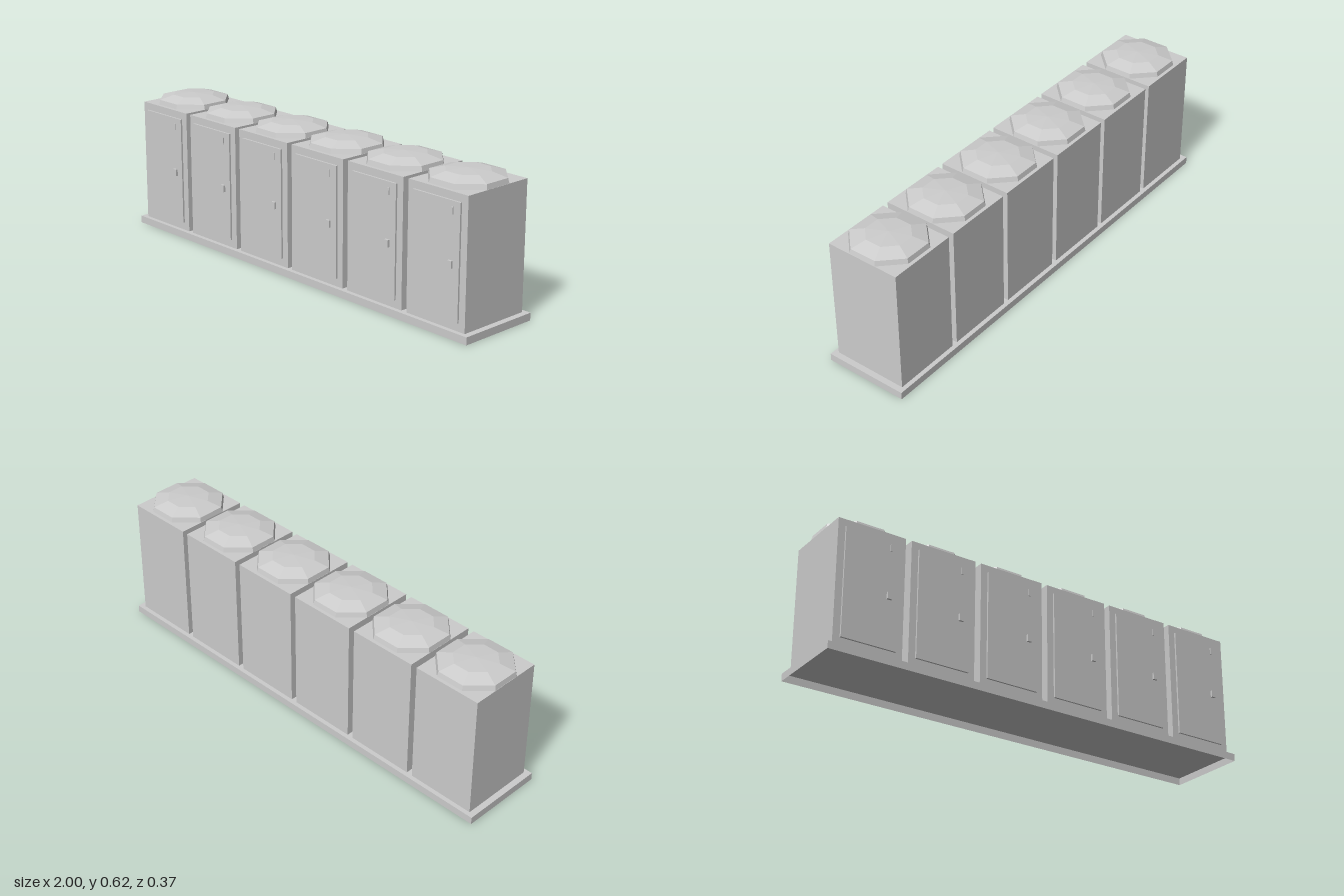
import * as THREE from 'three';

const grey = new THREE.MeshStandardMaterial({ color: 0xcccccc, flatShading: true, side: THREE.DoubleSide });
grey.name = 'light grey';

function add(parent, name, geometry, x, y, z) {
  const mesh = new THREE.Mesh(geometry, grey);
  mesh.name = name;
  mesh.position.set(x, y, z);
  parent.add(mesh);
  return mesh;
}

// Box given by its lower and upper y and its back and front z
function slab(parent, name, x, width, y0, y1, z0, z1) {
  return add(parent, name, new THREE.BoxGeometry(width, y1 - y0, z1 - z0), x, (y0 + y1) / 2, (z0 + z1) / 2);
}

// Eight-sided dome; the profile lists distance to the flat sides, then height
function roofGeometry() {
  const k = 1 / Math.cos(Math.PI / 8);
  const profile = [[0.15, 0], [0.145, 0.021], [0.086, 0.039], [0, 0.0435]];
  return new THREE.LatheGeometry(profile.map(([r, y]) => new THREE.Vector2(r * k, y)), 8, Math.PI / 8);
}

function createCabin() {
  const cabin = new THREE.Group();
  slab(cabin, 'cabinBody', 0, 0.302, 0.032, 0.572, -0.165, 0.165);
  slab(cabin, 'door', 0, 0.24, 0.067, 0.54, 0.165, 0.173);
  slab(cabin, 'doorHandle', 0.079, 0.02, 0.278, 0.308, 0.173, 0.182);
  slab(cabin, 'doorSlot', 0.082, 0.008, 0.488, 0.518, 0.173, 0.177);
  add(cabin, 'domedRoof', roofGeometry(), 0, 0.572, 0);
  return cabin;
}

export function createModel() {
  const model = new THREE.Group();
  model.name = 'cabinRow';

  // Shallow base tray, open underneath
  const base = slab(model, 'baseTray', 0, 2, 0, 0.032, -0.184, 0.184);
  const index = Array.from(base.geometry.index.array);
  index.splice(18, 6); // drop the bottom face
  base.geometry.setIndex(index);
  base.geometry.clearGroups();

  // Six identical cabins side by side
  for (let i = 0; i < 6; i++) {
    const cabin = createCabin();
    cabin.name = 'cabin' + (i + 1);
    cabin.position.x = (i - 2.5) * 0.329;
    model.add(cabin);
  }
  return model;
}
